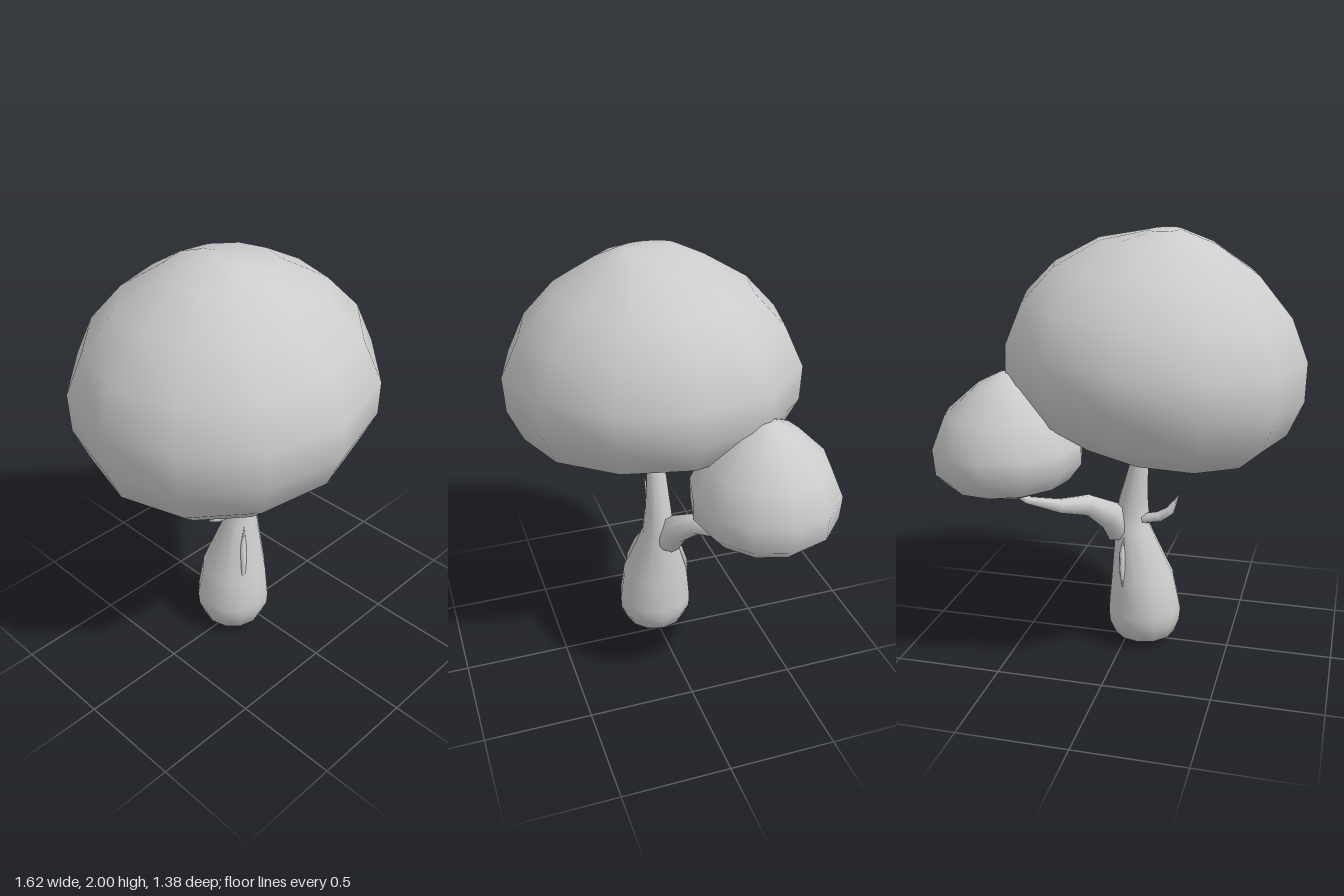
import * as THREE from 'three';

const V = (x, y, z) => new THREE.Vector3(x, y, z);

// Smooth closed skin over equal-sided rings listed from start to end
function loft(rings) {
  const n = rings[0].length, pos = [], idx = [];
  rings.forEach(r => r.forEach(p => pos.push(p.x, p.y, p.z)));
  for (let i = 0; i < rings.length - 1; i++) {
    for (let k = 0; k < n; k++) {
      const a = i * n + k, b = i * n + (k + 1) % n;
      idx.push(a, b, a + n, b, b + n, a + n);
    }
  }
  // end poles
  const addPole = (ring, start, flip) => {
    const c = ring.reduce((s, p) => s.add(p), V(0, 0, 0)).divideScalar(n);
    const ci = pos.length / 3;
    pos.push(c.x, c.y, c.z);
    for (let k = 0; k < n; k++) {
      const a = start + k, b = start + (k + 1) % n;
      if (flip) idx.push(ci, b, a); else idx.push(ci, a, b);
    }
  };
  addPole(rings[0], 0, true);
  addPole(rings[rings.length - 1], (rings.length - 1) * n, false);
  const g = new THREE.BufferGeometry();
  g.setAttribute('position', new THREE.Float32BufferAttribute(pos, 3));
  g.setIndex(idx);
  g.computeVertexNormals();
  return g;
}

// Upright body: each row is [left x, left y, right x, right y, half depth]
function stack(rows, z, sides) {
  return loft(rows.map(([xl, yl, xr, yr, d]) =>
    Array.from({ length: sides }, (_, k) => {
      const a = k / sides * Math.PI * 2, t = (1 + Math.cos(a)) / 2;
      return V(xl + (xr - xl) * t, yl + (yr - yl) * t, z - d * Math.sin(a));
    })));
}

// Tapered limb: each row is [x, y, z, radius]
function limb(rows, sides) {
  const pts = rows.map(r => V(r[0], r[1], r[2]));
  return loft(rows.map((r, i) => {
    const t = pts[Math.min(i + 1, pts.length - 1)].clone().sub(pts[Math.max(i - 1, 0)]).normalize();
    const u = t.clone().cross(V(0, 0, 1)).normalize(), v = t.clone().cross(u);
    return Array.from({ length: sides }, (_, k) => {
      const a = k / sides * Math.PI * 2;
      return pts[i].clone().addScaledVector(u, r[3] * Math.cos(a)).addScaledVector(v, r[3] * Math.sin(a));
    });
  }));
}

export function createModel() {
  const group = new THREE.Group();
  const clay = new THREE.MeshStandardMaterial({ color: 0xcccccc });
  clay.name = 'light grey';
  const add = (name, geometry) => {
    const m = new THREE.Mesh(geometry, clay);
    m.name = name;
    group.add(m);
  };

  // Large tilted crown
  add('largeCrown', stack([
    [-0.37, 1.00, 0.10, 1.09, 0.28],
    [-0.62, 1.00, 0.30, 1.13, 0.49],
    [-0.74, 1.10, 0.48, 1.23, 0.61],
    [-0.81, 1.26, 0.56, 1.38, 0.68],
    [-0.815, 1.44, 0.555, 1.53, 0.69],
    [-0.74, 1.63, 0.48, 1.71, 0.60],
    [-0.59, 1.81, 0.34, 1.85, 0.45],
    [-0.40, 1.94, 0.13, 1.96, 0.25],
    [-0.24, 2.00, -0.10, 2.00, 0.13],
  ], 0, 12));

  // Small crown at the back
  add('smallCrown', stack([
    [0.30, 0.87, 0.64, 0.86, 0.17],
    [0.19, 0.92, 0.74, 0.89, 0.27],
    [0.13, 1.00, 0.80, 0.95, 0.33],
    [0.13, 1.09, 0.81, 1.07, 0.335],
    [0.19, 1.23, 0.75, 1.22, 0.27],
    [0.33, 1.355, 0.60, 1.35, 0.14],
    [0.43, 1.40, 0.50, 1.40, 0.04],
  ], -0.33, 12));

  // Swollen trunk
  add('trunk', stack([
    [-0.11, 0.005, -0.07, 0.005, 0.02],
    [-0.235, 0.05, 0.06, 0.05, 0.15],
    [-0.26, 0.12, 0.09, 0.12, 0.18],
    [-0.265, 0.18, 0.095, 0.18, 0.183],
    [-0.23, 0.34, 0.08, 0.34, 0.165],
    [-0.11, 0.60, 0.06, 0.60, 0.08],
    [-0.10, 0.74, 0.045, 0.72, 0.065],
    [-0.10, 0.95, -0.02, 0.95, 0.045],
    [-0.11, 1.10, -0.06, 1.10, 0.025],
  ], 0, 12));

  // Branch carrying the small crown
  add('branch', limb([
    [0.035, 0.56, -0.03, 0.06],
    [0.07, 0.66, -0.06, 0.07],
    [0.16, 0.73, -0.13, 0.052],
    [0.27, 0.745, -0.21, 0.036],
    [0.40, 0.80, -0.31, 0.018],
    [0.47, 0.88, -0.37, 0.014],
  ], 8));

  // Short hooked twig
  add('twig', limb([
    [-0.08, 0.645, -0.03, 0.025],
    [-0.16, 0.66, -0.025, 0.026],
    [-0.21, 0.69, -0.01, 0.022],
    [-0.25, 0.77, 0, 0.002],
  ], 6));

  // Slim bark ridges, front and back
  add('frontBarkRidge', limb([
    [-0.15, 0.32, 0.135, 0.002],
    [-0.13, 0.41, 0.12, 0.014],
    [-0.10, 0.51, 0.09, 0.016],
    [-0.07, 0.60, 0.065, 0.002],
  ], 6));
  add('backBarkRidge', limb([
    [-0.01, 0.33, -0.15, 0.002],
    [-0.005, 0.41, -0.132, 0.014],
    [0, 0.49, -0.105, 0.014],
    [0, 0.56, -0.085, 0.002],
  ], 6));

  return group;
}
